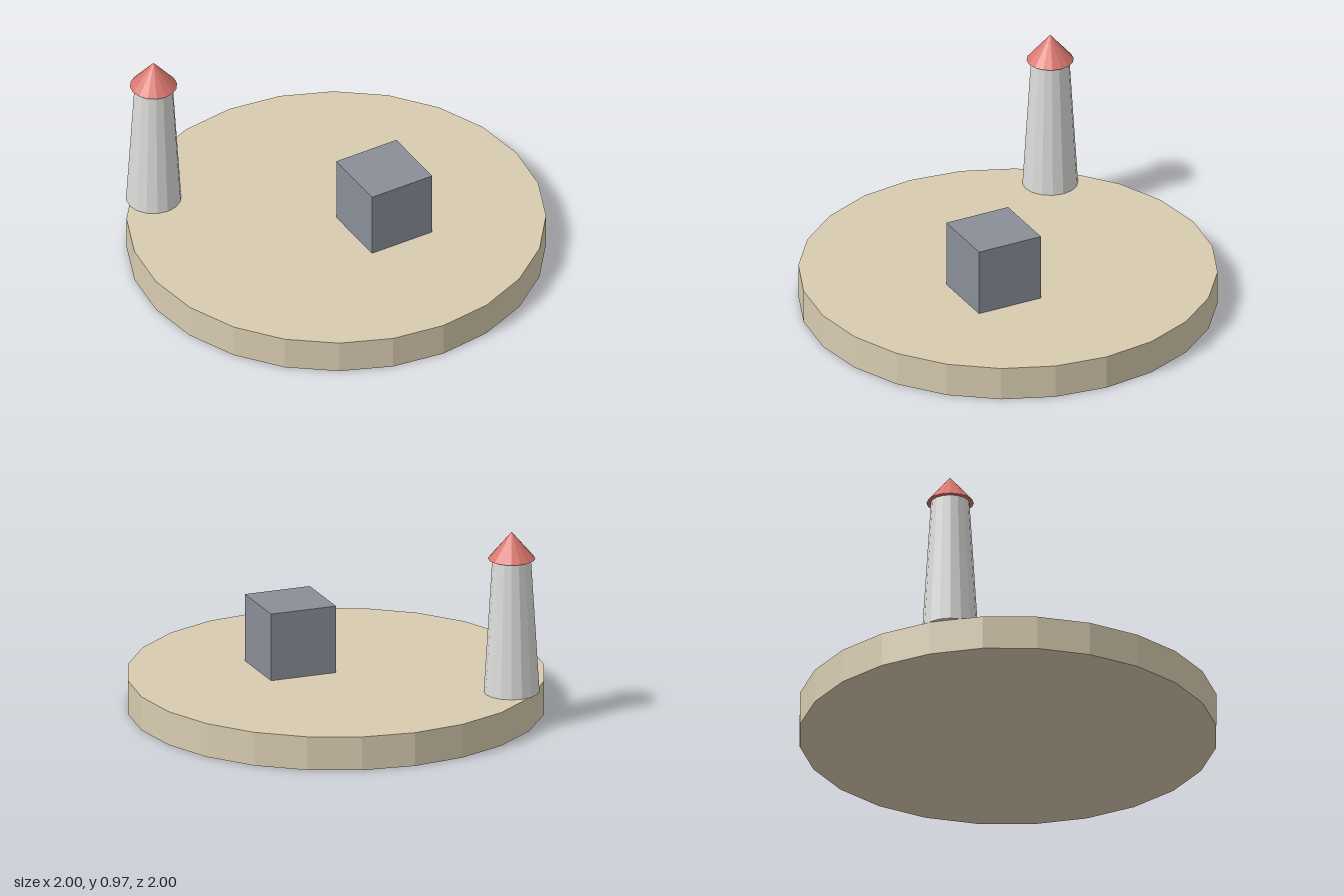
import * as THREE from 'three';

function material(name, color) {
  const m = new THREE.MeshStandardMaterial({ color, flatShading: true });
  m.name = name;
  return m;
}

export function createModel() {
  const model = new THREE.Group();
  model.name = 'towerIsland';

  const sand = material('sand', 0xd8cbb0);
  const slate = material('slate', 0x8a8e98);
  const plaster = material('plaster', 0xdcdcda);
  const roofRed = material('roofRed', 0xd9766e);

  const add = (parent, name, geometry, mat, x, y, z) => {
    const mesh = new THREE.Mesh(geometry, mat);
    mesh.name = name;
    mesh.position.set(x, y, z);
    parent.add(mesh);
  };

  const baseTop = 1 / 6;

  // Round ground slab
  add(model, 'base', new THREE.CylinderGeometry(1, 1, baseTop, 24), sand, 0, baseTop / 2, 0);

  // Plain cube block
  const size = 1 / 3;
  add(model, 'block', new THREE.BoxGeometry(size, size, size), slate, size / 2, baseTop + size / 2, size / 2);

  // Tapered tower at the back, slightly overhanging the slab
  const tower = new THREE.Group();
  tower.name = 'tower';
  tower.position.set(-0.667, baseTop, -0.583);
  const height = 2 / 3, roofHeight = 0.133;
  add(tower, 'towerWall', new THREE.CylinderGeometry(0.092, 0.133, height, 16), plaster, 0, height / 2, 0);
  add(tower, 'towerRoof', new THREE.ConeGeometry(0.113, roofHeight, 16), roofRed, 0, height + roofHeight / 2, 0);
  model.add(tower);

  return model;
}
